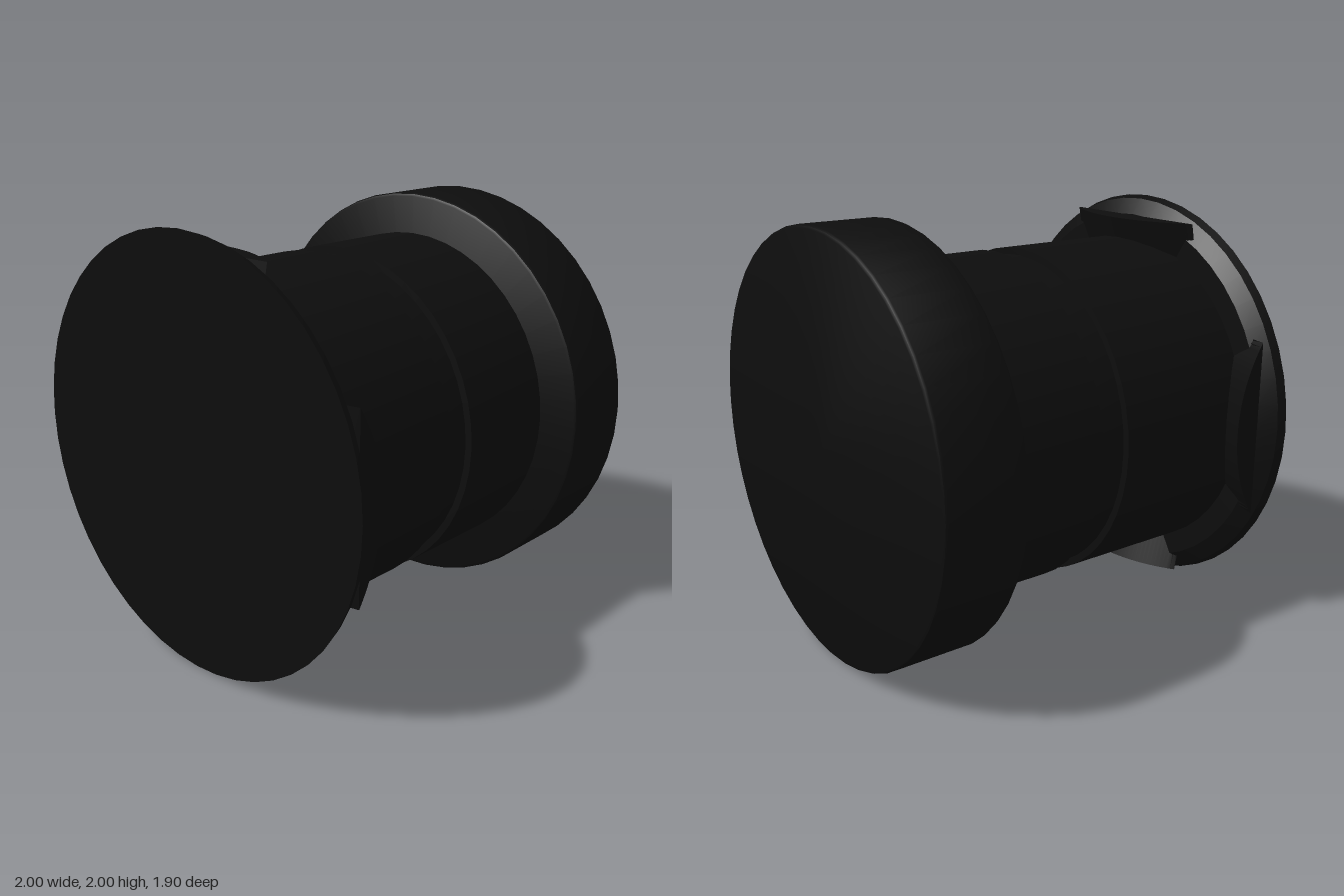
import * as THREE from 'three';
import { toCreasedNormals } from 'three/addons/utils/BufferGeometryUtils.js';

const black = new THREE.MeshStandardMaterial({ color: 0x0d0d0d });
black.name = 'black';

// Turned part along z, from [radius, z] pairs running back to front
function turned(name, profile) {
  const points = profile.map(([r, z]) => new THREE.Vector2(r, z));
  const geometry = new THREE.LatheGeometry(points, 48).rotateX(Math.PI / 2);
  const mesh = new THREE.Mesh(toCreasedNormals(geometry, 0.5), black);
  mesh.name = name;
  return mesh;
}

// Flat-topped clip with an arched, slanted rear edge
function clipGeometry() {
  const inner = 0.7, outer = 0.905, radius = 0.743, half = 0.42;
  const shape = new THREE.Shape();
  const angle = Math.asin(half / radius);
  shape.absarc(0, 0.73 + radius, radius, -Math.PI / 2 - angle, -Math.PI / 2 + angle, false);
  shape.closePath();
  const geometry = new THREE.ExtrudeGeometry(shape, {
    depth: outer - inner, bevelEnabled: false, curveSegments: 20,
  });
  geometry.translate(0, 0, inner);
  // Lean the rear edge outwards
  const p = geometry.attributes.position;
  for (let i = 0; i < p.count; i++) {
    p.setY(i, Math.min(0.9, p.getY(i) + 0.33 * (outer - p.getZ(i))));
  }
  geometry.rotateX(Math.PI / 2);
  return toCreasedNormals(geometry, 0.5);
}

export function createModel() {
  const model = new THREE.Group();
  model.name = 'cylindricalPlug';
  const parts = new THREE.Group();
  parts.name = 'plugParts';
  parts.position.y = 1;
  model.add(parts);

  // Wide rear cap with softened rims
  parts.add(turned('rearCap', [
    [0, -0.95], [0.985, -0.95], [0.995, -0.945], [1, -0.935],
    [1, -0.565], [0.995, -0.555], [0.985, -0.55], [0, -0.55],
  ]));

  // Barrel with a shallow groove
  parts.add(turned('barrel', [
    [0.803, -0.56], [0.803, 0], [0.77, 0], [0.77, 0.145], [0.803, 0.145], [0.803, 0.87],
  ]));

  // Thin front flange with a bevelled rear edge
  parts.add(turned('frontFlange', [
    [0, 0.86], [0.91, 0.86], [0.985, 0.91], [1, 0.95], [0, 0.95],
  ]));

  // Four clips around the flange
  const geometry = clipGeometry();
  for (let i = 0; i < 4; i++) {
    const clip = new THREE.Mesh(geometry, black);
    clip.name = 'clip' + (i + 1);
    clip.rotation.z = i * Math.PI / 2;
    parts.add(clip);
  }
  return model;
}
